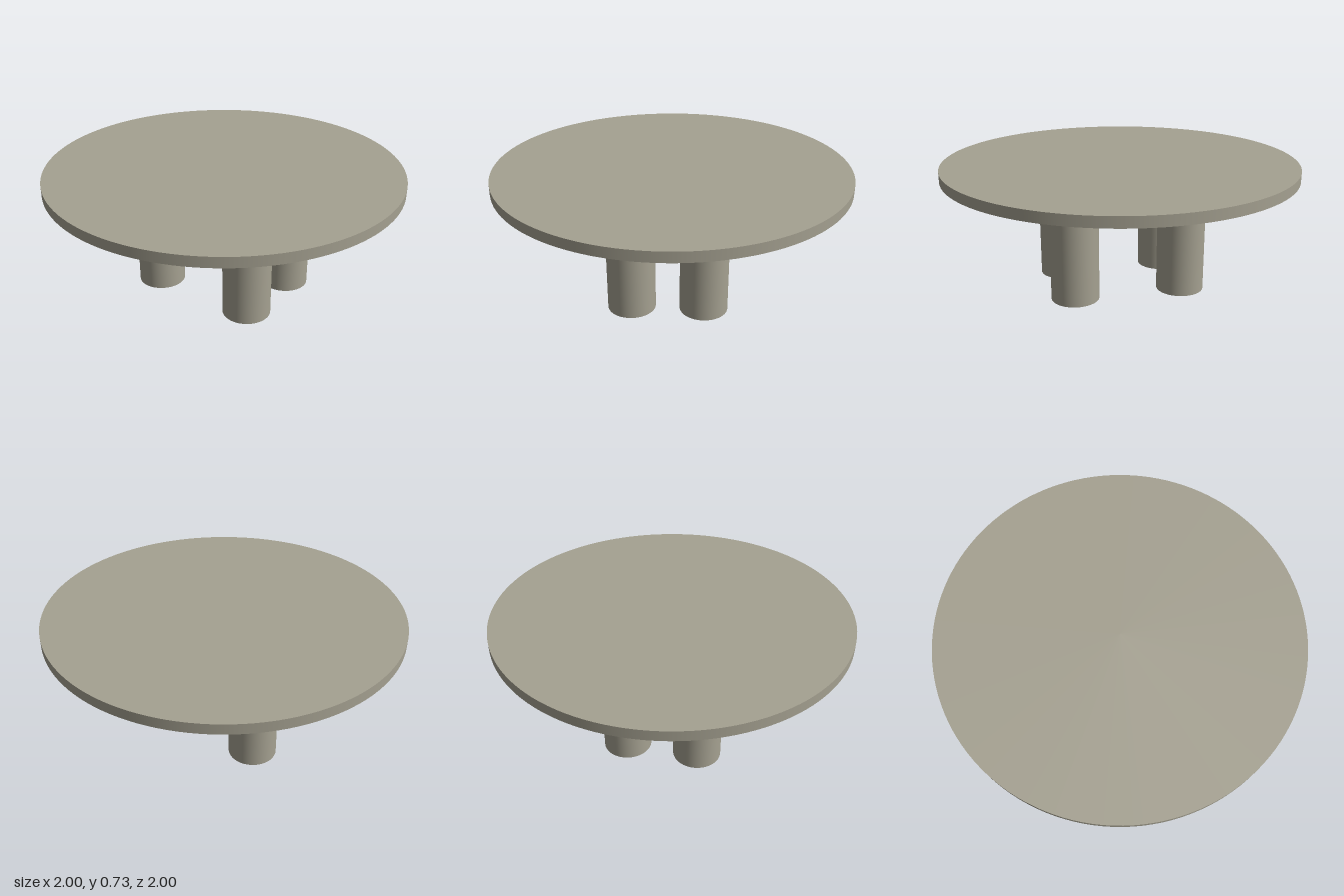
import * as THREE from 'three';

const TOP_Y = 0.727, UNDER_Y = 0.67; // tabletop upper and lower faces
const LEG_RADIUS = 0.135;

export function createModel() {
  const table = new THREE.Group();
  table.name = 'roundTable';
  const stone = new THREE.MeshStandardMaterial({ color: 0xa5a191 });
  stone.name = 'warm grey';

  function addCylinder(name, radius, bottom, top, x, z, sides) {
    const geometry = new THREE.CylinderGeometry(radius, radius, top - bottom, sides);
    const mesh = new THREE.Mesh(geometry, stone);
    mesh.name = name;
    mesh.position.set(x, (top + bottom) / 2, z);
    table.add(mesh);
  }

  // Round slab
  addCylinder('tabletop', 1, UNDER_Y, TOP_Y, 0, 0, 128);

  // Four thick round legs, the rows sitting slightly forward of centre
  for (const [row, z] of [['front', 0.209], ['back', -0.196]]) {
    for (const [side, x] of [['Left', 0.306], ['Right', -0.308]]) {
      addCylinder(`${row}${side}Leg`, LEG_RADIUS, 0, UNDER_Y, x, z, 64);
    }
  }
  return table;
}
